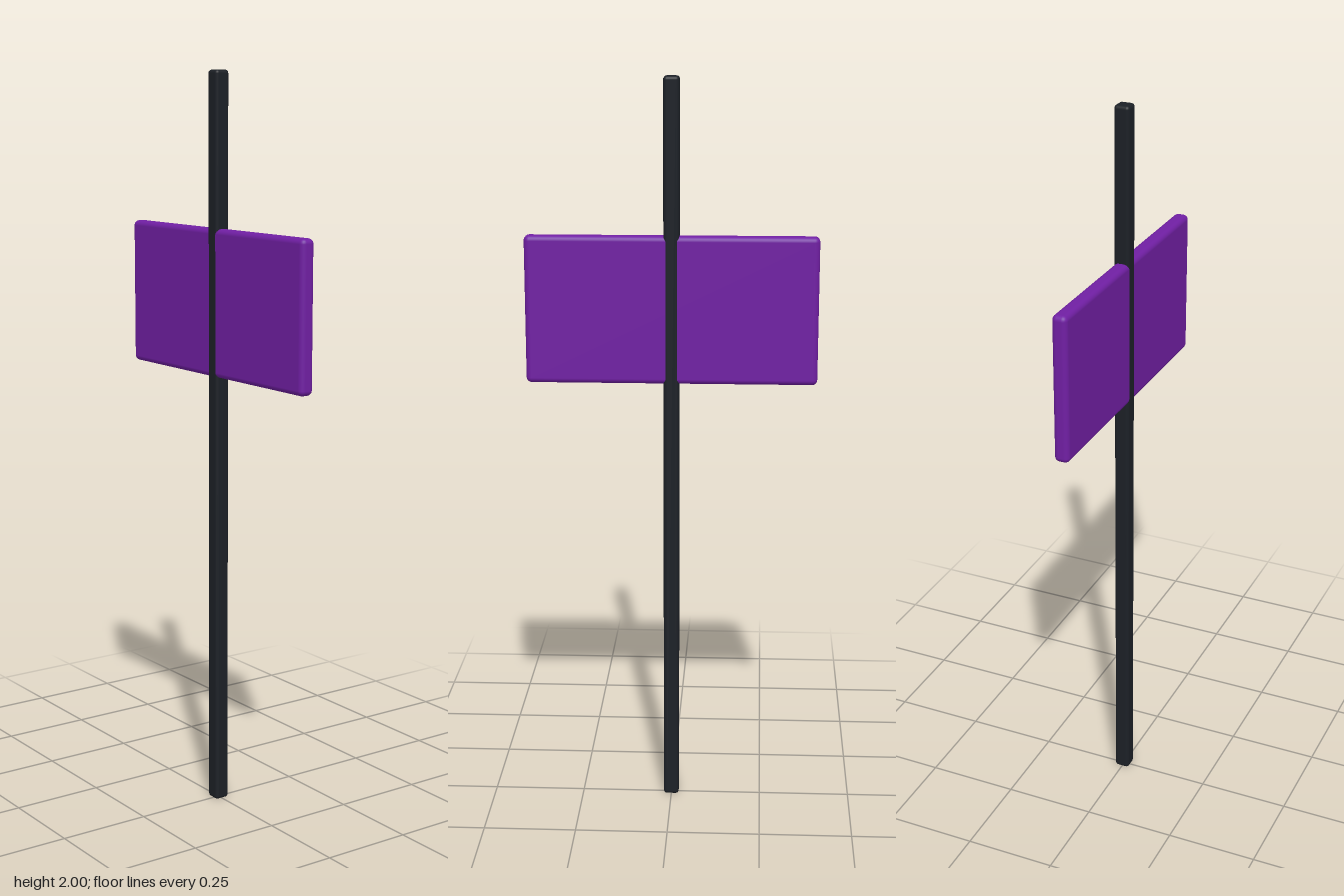
import * as THREE from 'three';
import { RoundedBoxGeometry } from 'three/addons/geometries/RoundedBoxGeometry.js';

// Rounded box placed by its bottom and top heights
function roundedBlock(name, width, bottom, top, depth, radius, color) {
  const mesh = new THREE.Mesh(
    new RoundedBoxGeometry(width, top - bottom, depth, 3, radius),
    new THREE.MeshStandardMaterial({ color })
  );
  mesh.name = name;
  mesh.position.y = (bottom + top) / 2;
  return mesh;
}

export function createModel() {
  const model = new THREE.Group();
  model.name = 'signPost';

  // Square post, a hair thicker than the panel so it shows on both faces
  model.add(roundedBlock('post', 0.042, 0, 2, 0.042, 0.009, 0x1c2026));

  // Wide panel the post runs through
  model.add(roundedBlock('panel', 0.776, 1.195, 1.59, 0.041, 0.014, 0x701fa3));

  return model;
}
